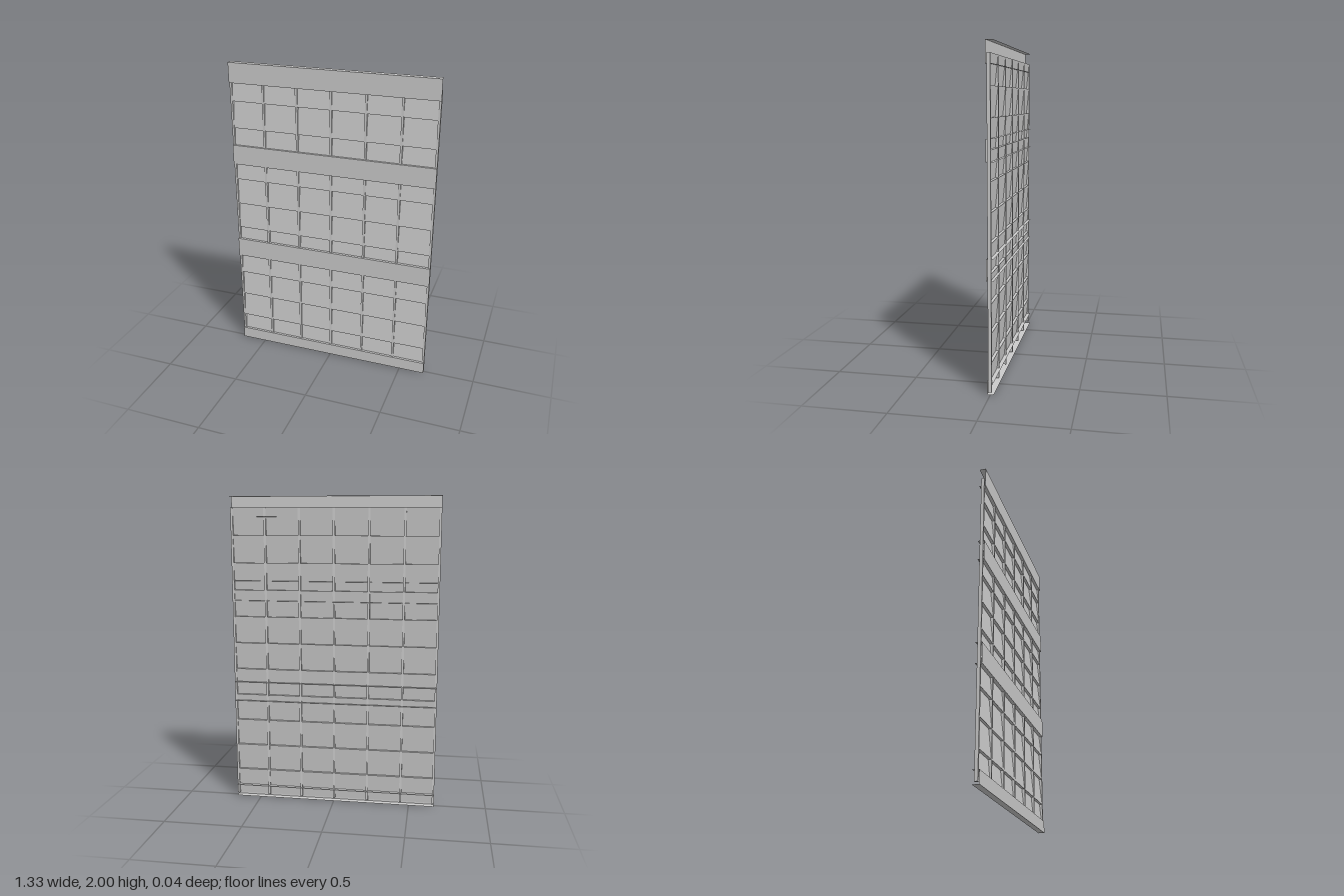
import * as THREE from 'three';

const W = 1.332;              // overall width
const Y0 = 0.015, Y1 = 1.931; // lapped sheet bottom and top
const ROWS = 11;
const ZB = -0.008, ZF = 0.012; // sheet back and front

const mat = new THREE.MeshStandardMaterial({ color: 0xcccccc, flatShading: true, side: THREE.DoubleSide });

// Open surface made by sweeping a [z, y] polyline across the width
function sweptSheet(name, profile, width) {
  const pos = [];
  const h = width / 2;
  for (let i = 0; i < profile.length - 1; i++) {
    const [z0, y0] = profile[i], [z1, y1] = profile[i + 1];
    pos.push(-h, y0, z0, h, y0, z0, h, y1, z1);
    pos.push(-h, y0, z0, h, y1, z1, -h, y1, z1);
  }
  const geo = new THREE.BufferGeometry();
  geo.setAttribute('position', new THREE.Float32BufferAttribute(pos, 3));
  geo.computeVertexNormals();
  const mesh = new THREE.Mesh(geo, mat);
  mesh.name = name;
  return mesh;
}

export function createModel() {
  const group = new THREE.Group();
  group.name = 'slattedPanel';

  // Sloping slats joined by small ledges: each leans back towards its top
  const slats = [];
  const step = (Y1 - Y0) / ROWS;
  for (let i = 0; i < ROWS; i++) {
    slats.push([ZF - 0.001, Y0 + i * step], [ZB + 0.001, Y0 + (i + 1) * step]);
  }
  group.add(sweptSheet('slats', slats, W - 0.004));

  // Upright ribs dividing the slats into six columns
  const ribs = new THREE.Group();
  ribs.name = 'ribs';
  const ribGeo = new THREE.BoxGeometry(0.014, Y1 - Y0, ZF - ZB);
  for (let i = -3; i <= 3; i++) {
    const rib = new THREE.Mesh(ribGeo, mat);
    rib.name = 'rib';
    rib.position.set(Math.abs(i) === 3 ? Math.sign(i) * (W / 2 - 0.007) : i * 0.222, (Y0 + Y1) / 2, (ZB + ZF) / 2);
    ribs.add(rib);
  }
  group.add(ribs);

  // Horizontal channel rails: flat face in front, flanges running to the back
  const rails = { bottomRail: [0, 0.077], lowerRail: [0.671, 0.798], upperRail: [1.34, 1.468], topRail: [1.873, 2] };
  for (const [name, [lo, hi]] of Object.entries(rails)) {
    group.add(sweptSheet(name, [[-0.02, lo], [0.02, lo], [0.02, hi], [-0.02, hi]], W));
  }
  return group;
}
